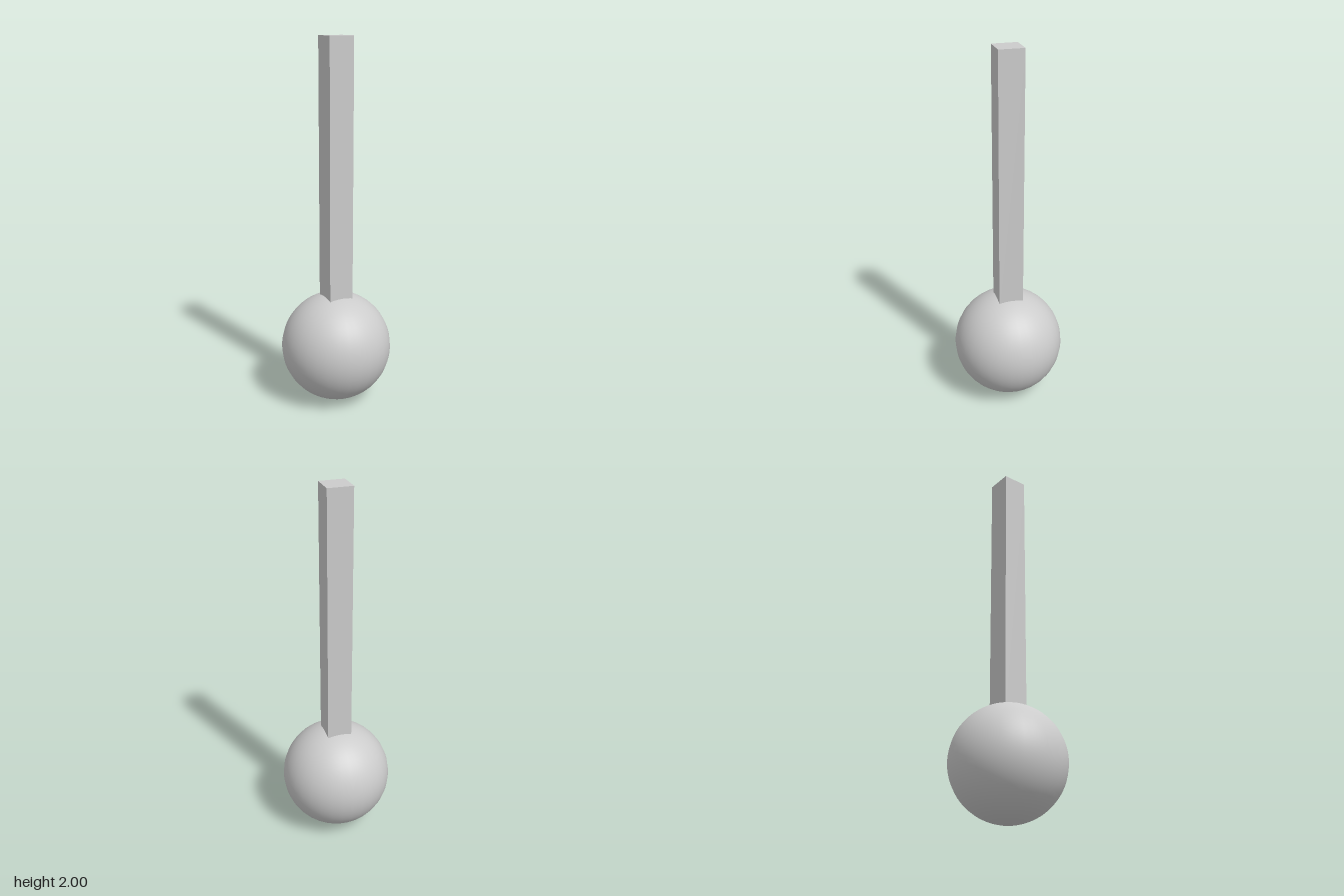
import * as THREE from 'three';

export function createModel() {
  const group = new THREE.Group();
  const material = new THREE.MeshStandardMaterial({ color: 0xcccccc });
  const radius = 0.305, width = 0.136, height = 2, rodBase = 0.55;

  // Round ball resting on the ground
  const ball = new THREE.Mesh(new THREE.SphereGeometry(radius, 32, 32), material);
  ball.name = 'ball';
  ball.position.y = radius;

  // Square rod rising from the top of the ball
  const rod = new THREE.Mesh(new THREE.BoxGeometry(width, height - rodBase, width), material);
  rod.name = 'rod';
  rod.position.y = (height + rodBase) / 2;

  group.add(ball, rod);
  return group;
}
